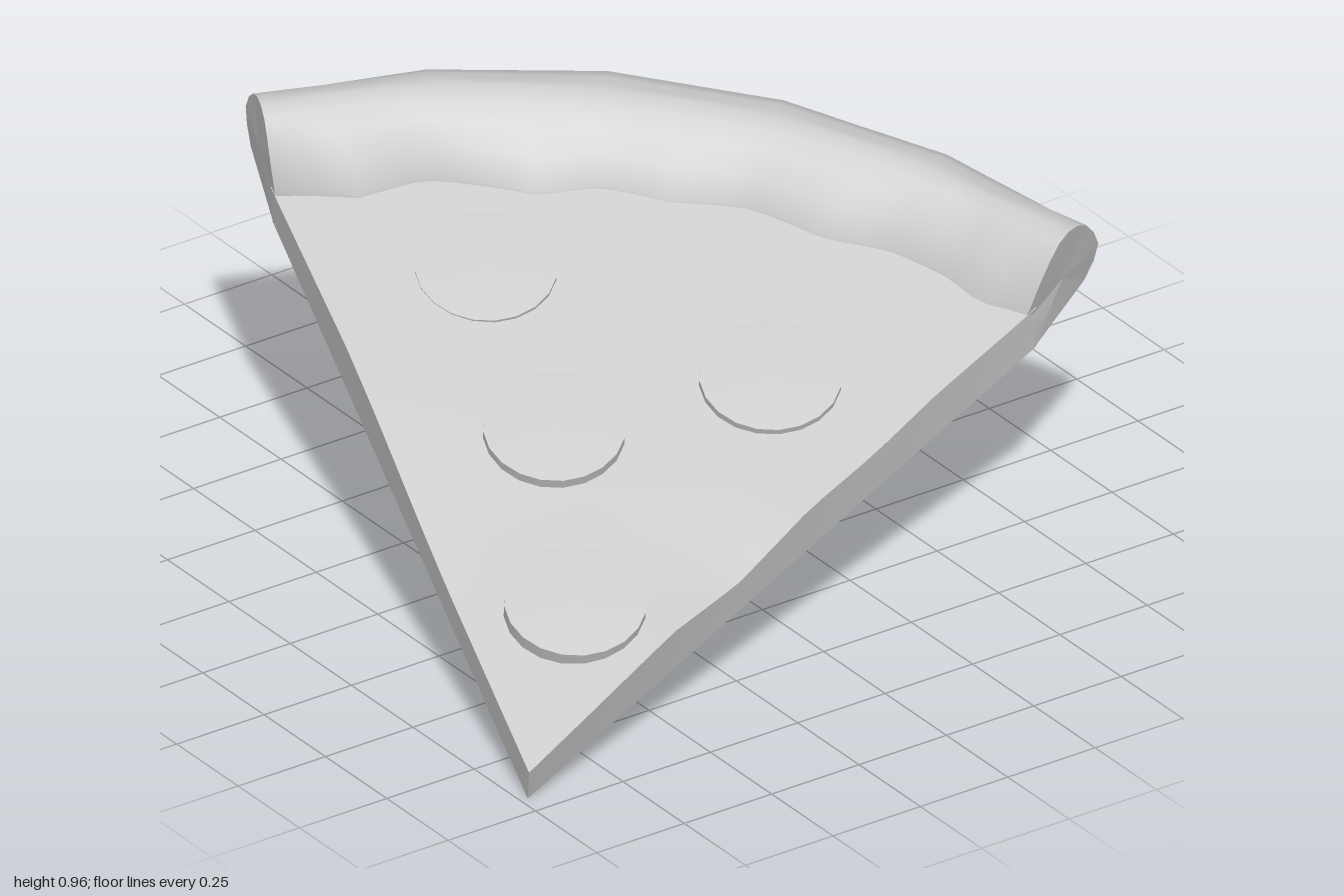
import * as THREE from 'three';

const RAD = Math.PI / 180;
const material = new THREE.MeshStandardMaterial({ color: 0xcccccc, roughness: 0.8 });

// Linear lookup in a list of [key, value] pairs
function lookup(table, k) {
  if (k <= table[0][0]) return table[0][1];
  for (let i = 1; i < table.length; i++) {
    const [k0, v0] = table[i - 1], [k1, v1] = table[i];
    if (k <= k1) return v0 + (v1 - v0) * (k - k0) / (k1 - k0);
  }
  return table[table.length - 1][1];
}

// Slice lies flat here: tip at the origin, crust towards -z, h is height
const point = (r, deg, h) => new THREE.Vector3(r * Math.sin(deg * RAD), h, -r * Math.cos(deg * RAD));

// Angle of a column s in [-1, 1]; the crust ends are cut slightly narrower
function angle(s, r, low = false) {
  const taper = 1 - 0.025 * THREE.MathUtils.clamp((r - 1.88) / 0.2, 0, 1);
  return s * (s < 0 ? 29.8 : low ? 29.5 : 28.9) * taper;
}

// Surface from rows x cols points
function surface(name, rows, cols, fn) {
  const pos = [], index = [];
  for (let i = 0; i <= rows; i++) for (let j = 0; j <= cols; j++) pos.push(...fn(i, j).toArray());
  for (let i = 0; i < rows; i++) for (let j = 0; j < cols; j++) {
    const a = i * (cols + 1) + j, b = a + 1, c = a + cols + 1, d = c + 1;
    index.push(a, b, c, b, d, c);
  }
  const g = new THREE.BufferGeometry();
  g.setAttribute('position', new THREE.Float32BufferAttribute(pos, 3));
  g.setIndex(index);
  g.computeVertexNormals();
  const mesh = new THREE.Mesh(g, material);
  mesh.name = name;
  return mesh;
}

// Uneven height of the topping along each cut side
const leftHeight = [[0, 0.095], [0.58, 0.09], [0.77, 0.1], [1.13, 0.13], [1.32, 0.135], [1.83, 0.1]];
const rightHeight = [[0, 0.095], [0.21, 0.107], [0.53, 0.128], [0.77, 0.09], [1.03, 0.127],
  [1.27, 0.113], [1.49, 0.125], [1.83, 0.11]];
const topHeight = (r, s) => {
  const l = lookup(leftHeight, r), rt = lookup(rightHeight, r), edge = l + (rt - l) * (s + 1) / 2;
  return edge + (0.108 - edge) * (1 - s * s) * Math.min(1, r);
};

// Crust: wavy inner foot and ridge height, by angle
const footRadius = [[-29.8, 1.837], [-23.4, 1.77], [-18.3, 1.8], [-9.9, 1.742], [-5.4, 1.777], [0, 1.76],
  [6, 1.79], [12.4, 1.767], [17.4, 1.803], [22.4, 1.805], [25.7, 1.784], [29, 1.825]];
const ridgeHeight = [[-29.7, 0.25], [-22, 0.234], [-15, 0.223], [-5, 0.21], [0, 0.212],
  [15, 0.222], [22, 0.222], [29, 0.26]];

function crustProfile(s) {
  const deg = s * 29.3, foot = lookup(footRadius, deg), ridge = lookup(ridgeHeight, deg);
  return [[foot - 0.005, 0.085], [foot + 0.003, 0.115], [foot + (1.945 - foot) * 0.35, 0.1 + (ridge - 0.1) * 0.53],
    [foot + (1.945 - foot) * 0.7, 0.1 + (ridge - 0.1) * 0.84],
    [1.945, ridge], [1.985, ridge + 0.003], [2.025, ridge - 0.015], [2.065, ridge * 0.8], [2.1, 0.148],
    [2.12, 0.088], [2.105, 0.038], [2.07, 0]];
}

// The outer rim is five straight facets long
const SEG = 40;
const column = j => (j / SEG) * 2 - 1;
function chord(s) {
  const phase = ((((s + 1) / 2) * 5) % 1) - 0.5;
  return Math.cos(5.8 * RAD) / Math.cos(phase * 11.6 * RAD);
}

export function createModel() {
  const model = new THREE.Group();
  model.name = 'pizzaSlice';
  const slice = new THREE.Group();
  slice.name = 'tiltedSlice';
  model.add(slice);

  // Cheese top
  const R = 24, len = 1.86;
  slice.add(surface('cheeseTop', R, SEG, (i, j) => {
    const r = len * i / R, s = column(j);
    return point(r, angle(s, r), topHeight(r, s));
  }));

  // Flat underside
  const under = [2.07, 1.83, 1, 0];
  slice.add(surface('underside', 3, SEG, (i, j) => {
    const s = column(j), r = under[i] * (i === 0 ? chord(s) : 1);
    return point(r, angle(s, r, i > 0), 0);
  }));

  // Cut sides
  for (const s of [-1, 1]) {
    slice.add(surface(s < 0 ? 'leftCut' : 'rightCut', R, 1, (i, j) => {
      const r = 1.84 * i / R, top = (j === 1) === (s < 0);
      return point(r, angle(s, r, !top), top ? topHeight(r, s) : 0);
    }));
  }

  // Crust roll
  const rows = crustProfile(0).length - 1;
  slice.add(surface('crust', rows, SEG, (i, j) => {
    const s = column(j), [r, h] = crustProfile(s)[i];
    const rr = i > 5 ? r * chord(s) : r;
    return point(rr, angle(s, r), h);
  }));

  // Crust end faces
  for (const s of [-1, 1]) {
    const loop = [...crustProfile(s), [1.83, 0]];
    loop.push(loop[0]);
    if (s < 0) loop.reverse();
    slice.add(surface(s < 0 ? 'leftCrustEnd' : 'rightCrustEnd', 1, loop.length - 1, (i, j) => {
      const [r, h] = i === 0 ? [1.97, 0.11] : loop[j];
      return point(r, angle(s, r, h === 0 && r < 1.9), h);
    }));
  }

  // Tilt: lateral, normal and inward axes of the slice
  const normal = new THREE.Vector3(-0.188, 0.928, 0.322).normalize();
  const inward = new THREE.Vector3(-0.679, -0.359, 0.641).normalize();
  const lateral = new THREE.Vector3().crossVectors(normal, inward).normalize();
  inward.crossVectors(lateral, normal);
  const tip = new THREE.Vector3(-0.98, 0, 0.94);
  slice.quaternion.setFromRotationMatrix(new THREE.Matrix4().makeBasis(lateral, normal, inward));
  slice.position.copy(tip);

  // Round topping discs with a crisp rim and a faint dome
  const rim = new THREE.CylinderGeometry(0.168, 0.168, 0.06, 20, 1, true);
  const dome = new THREE.LatheGeometry(
    [[0.168, 0.03], [0.11, 0.035], [0.05, 0.037], [0, 0.038]].map(p => new THREE.Vector2(...p)), 20);
  const spots = [[-0.275, 0.67, -0.235], [-0.41, 0.495, 0.235], [0.1, 0.54, 0.39], [-0.655, 0.3, 0.67]];
  for (const spot of spots) {
    const disc = new THREE.Group();
    disc.name = 'toppingDisc';
    const p = new THREE.Vector3(...spot).sub(tip);
    disc.position.set(p.dot(lateral), p.dot(normal) - 0.022, p.dot(inward));
    const side = new THREE.Mesh(rim, material), top = new THREE.Mesh(dome, material);
    side.name = 'toppingRim';
    top.name = 'toppingFace';
    disc.add(side, top);
    slice.add(disc);
  }
  return model;
}
